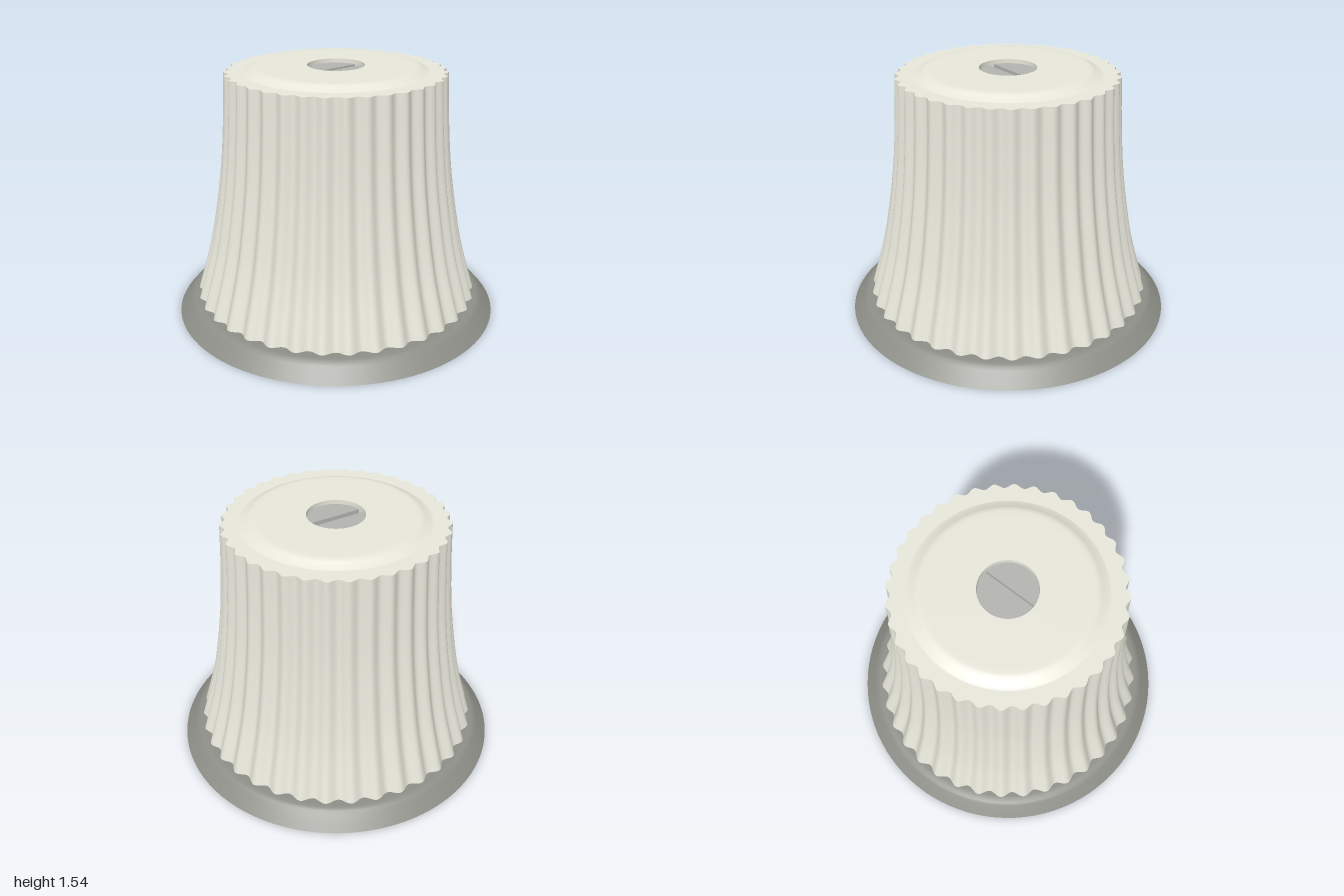
import * as THREE from 'three';
import { mergeVertices } from 'three/addons/utils/BufferGeometryUtils.js';

const FLUTES = 36;
const cream = new THREE.MeshStandardMaterial({ color: 0xe6e6da });
const grey = new THREE.MeshStandardMaterial({ color: 0x8e8e88 });
const metal = new THREE.MeshStandardMaterial({ color: 0xb2b2ae });

// Revolved surface; points run upward on outer walls. Each section is smooth, edges between sections stay sharp.
function revolve(points, segments = 96) {
  return new THREE.LatheGeometry(points.map(([r, y]) => new THREE.Vector2(r, y)), segments);
}

// Revolved surface whose radius ripples into vertical flutes where r > 0.6.
function revolveFluted(points) {
  const geo = revolve(points, FLUTES * 10);
  const p = geo.attributes.position;
  for (let i = 0; i < p.count; i++) {
    const x = p.getX(i), z = p.getZ(i);
    if (Math.hypot(x, z) < 0.6) continue;
    const k = 1 - 0.02 * (1 + Math.cos(FLUTES * Math.atan2(x, z)));
    p.setX(i, x * k);
    p.setZ(i, z * k);
  }
  geo.deleteAttribute('uv');
  geo.deleteAttribute('normal');
  const merged = mergeVertices(geo, 1e-5);
  merged.computeVertexNormals();
  return merged;
}

function addPart(group, name, geometry, material) {
  const mesh = new THREE.Mesh(geometry, material);
  mesh.name = name;
  group.add(mesh);
  return mesh;
}

export function createModel() {
  const model = new THREE.Group();
  model.name = 'flutedKnob';

  // Base flange: flat underside, bevelled wall with a rounded shoulder, flat top
  const base = new THREE.Group();
  base.name = 'base';
  addPart(base, 'baseUnderside', revolve([[0, 0], [1, 0]]), grey);
  addPart(base, 'baseBevel', revolve([[1, 0], [0.965, 0.04], [0.93, 0.078], [0.915, 0.092], [0.895, 0.1], [0.87, 0.1]]), grey);
  addPart(base, 'baseTop', revolve([[0.87, 0.1], [0, 0.1]]), grey);
  model.add(base);

  // Fluted, flared body
  const body = new THREE.Group();
  body.name = 'body';
  const flare = new THREE.SplineCurve([
    [0.88, 0.112], [0.797, 0.4], [0.745, 0.65], [0.7, 0.95], [0.674, 1.25], [0.66, 1.508],
  ].map(([r, y]) => new THREE.Vector2(r, y)));
  addPart(body, 'bodyWall', revolveFluted(flare.getPoints(20).map(v => [v.x, v.y])), cream);
  addPart(body, 'bodyUnderside', revolveFluted([[0.5, 0.112], [0.88, 0.112]]), cream);
  addPart(body, 'bodySeat', revolve([[0.83, 0.1], [0.83, 0.112]]), cream);
  addPart(body, 'bodyTop', revolveFluted([[0.66, 1.508], [0.54, 1.508]]), cream);
  model.add(body);

  // Raised round plate on top with a central screw hole
  const plate = new THREE.Group();
  plate.name = 'topPlate';
  addPart(plate, 'plateEdge', revolve([[0.56, 1.507], [0.54, 1.51], [0.505, 1.53], [0.49, 1.537], [0.47, 1.54], [0.44, 1.54]]), cream);
  addPart(plate, 'plateFace', revolve([[0.44, 1.54], [0.17, 1.54]]), cream);
  addPart(plate, 'screwHoleWall', revolve([[0.17, 1.54], [0.17, 1.48]], 64), cream);
  model.add(plate);

  // Recessed screw: two half discs leaving a slot along x, above a slot floor
  const screw = new THREE.Group();
  screw.name = 'screw';
  addPart(screw, 'slotFloor', revolve([[0.17, 1.485], [0, 1.485]], 64), metal);
  const r = 0.168, halfSlot = 0.019, a = Math.asin(halfSlot / r);
  const half = new THREE.Shape();
  half.absarc(0, 0, r, a, Math.PI - a, false);
  half.closePath();
  const halfGeo = new THREE.ExtrudeGeometry(half, { depth: 0.03, bevelEnabled: false, curveSegments: 32 });
  halfGeo.rotateX(-Math.PI / 2);
  for (const [name, turn] of [['screwHalfBack', 0], ['screwHalfFront', Math.PI]]) {
    const mesh = addPart(screw, name, halfGeo, metal);
    mesh.position.y = 1.485;
    mesh.rotation.y = turn;
  }
  model.add(screw);

  return model;
}
